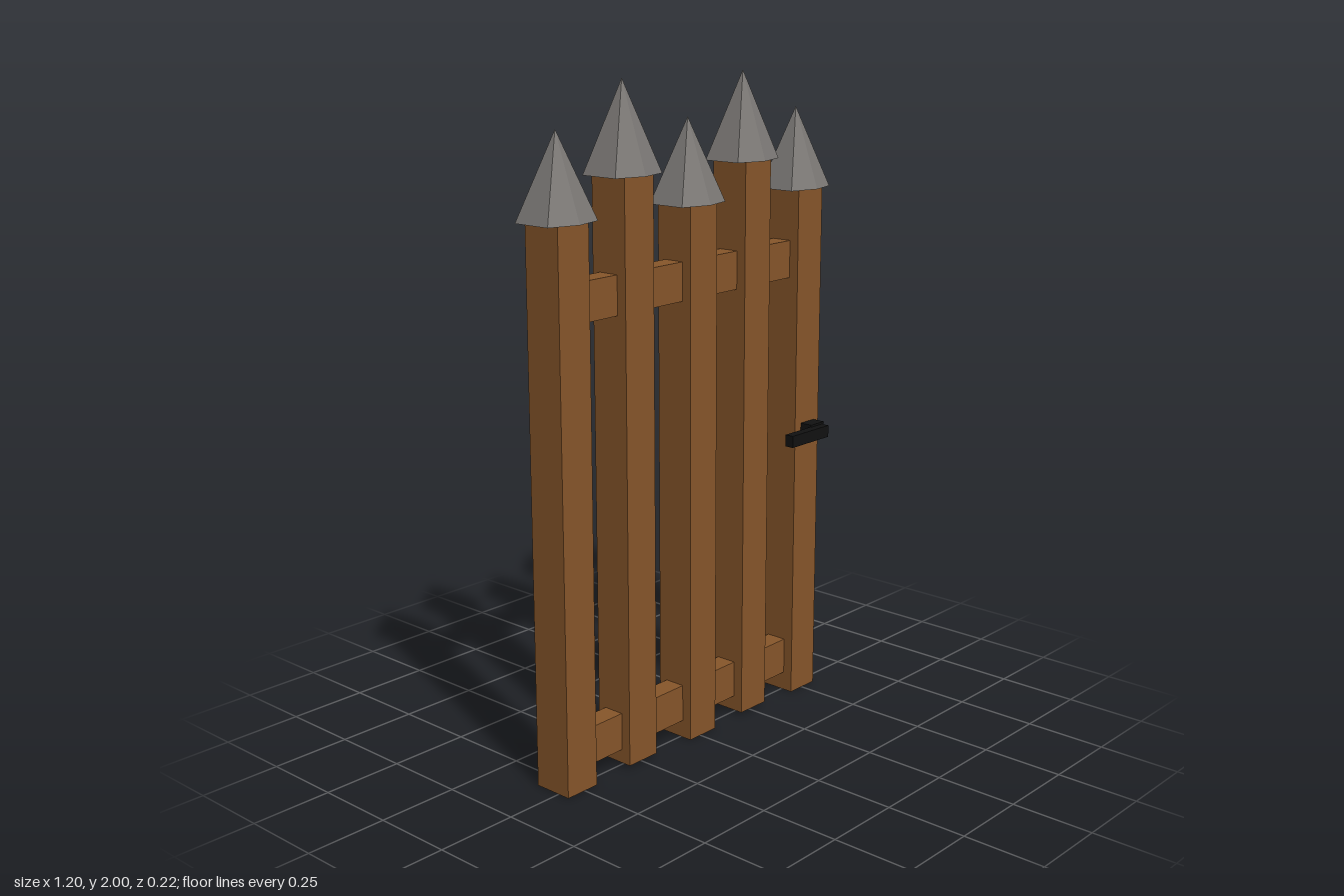
import * as THREE from 'three';

const wood = new THREE.MeshStandardMaterial({ color: 0x87562a, flatShading: true });
const iron = new THREE.MeshStandardMaterial({ color: 0x7d7a77, flatShading: true });
const black = new THREE.MeshStandardMaterial({ color: 0x111111, flatShading: true });

const Z = -0.023;

function box(name, material, w, h, d, x, y, z) {
  const mesh = new THREE.Mesh(new THREE.BoxGeometry(w, h, d), material);
  mesh.name = name;
  mesh.position.set(x, y, z);
  return mesh;
}

// Six-sided spike: points to front and back, flat long sides left and right
function spikeGeometry(height) {
  const geo = new THREE.ConeGeometry(1, height, 6, 1);
  geo.translate(0, height / 2, 0);
  const p = geo.attributes.position;
  for (let i = 0; i < p.count; i++) {
    const z = p.getZ(i);
    const corner = Math.abs(p.getX(i)) > 0.1;
    const depth = corner ? 0.0625 : Math.abs(z) > 0.1 ? 0.088 : 0;
    p.setX(i, corner ? Math.sign(p.getX(i)) * 0.093 : 0);
    p.setZ(i, Math.sign(z) * depth);
  }
  geo.computeVertexNormals();
  return geo;
}

// Post with an iron spike on top; the spike's underside is wood
function picket(x, bottom, top, tip, footMaterial) {
  const group = new THREE.Group();
  group.name = 'picket';
  const post = box('post', wood, 0.115, top - bottom, 0.125, x, (top + bottom) / 2, Z);
  post.material = [wood, wood, wood, footMaterial, wood, wood];
  const spike = new THREE.Mesh(spikeGeometry(tip - top), [iron, iron, wood]);
  spike.name = 'spike';
  spike.position.set(x, top, Z);
  group.add(post, spike);
  return group;
}

export function createModel() {
  const model = new THREE.Group();
  model.name = 'picketGate';

  // Pickets, alternating short and tall
  [-0.508, -0.255, 0.012, 0.253, 0.503].forEach((x, i) => {
    const tall = i % 2 === 1;
    model.add(picket(x, tall ? 0.01 : 0, tall ? 1.74 : 1.635, tall ? 2 : 1.88, i === 3 ? iron : wood));
  });

  // Two slightly tilted cross rails
  for (const [name, y] of [['lowerRail', 0.113], ['upperRail', 1.417]]) {
    const rail = box(name, wood, 1.0, 0.115, 0.066, 0, y, -0.025);
    rail.rotation.z = 0.01;
    model.add(rail);
  }

  // Latch handle on the front of the left post
  const handle = new THREE.Group();
  handle.name = 'handle';
  handle.add(
    box('handleMount', black, 0.064, 0.05, 0.05, 0.506, 0.876, 0.056),
    box('handleLever', black, 0.178, 0.037, 0.029, 0.44, 0.876, 0.092)
  );
  model.add(handle);

  return model;
}
